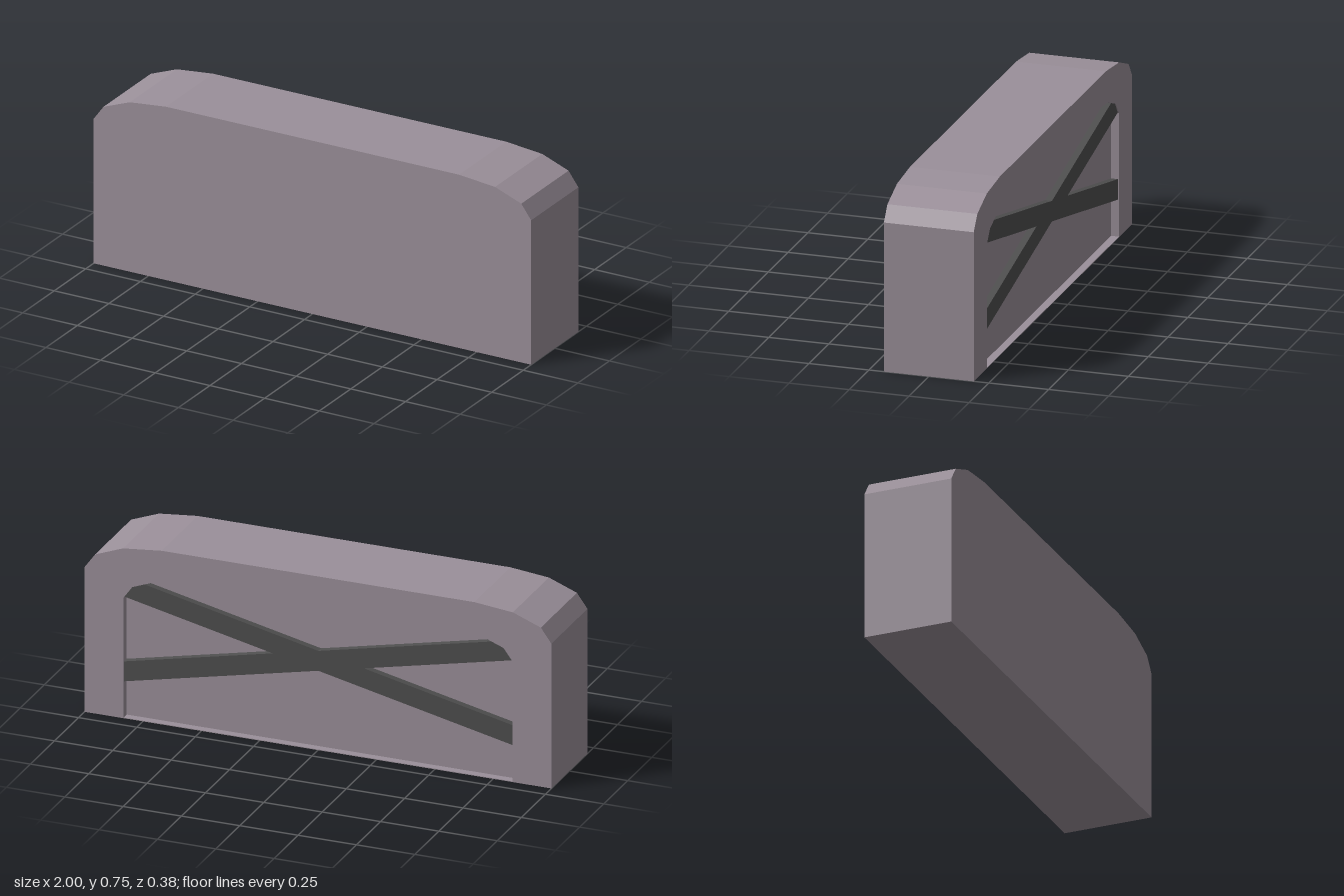
import * as THREE from 'three';

const BACK = -0.1875, RECESS = -0.155, FRONT = 0.1875;

// Half of the arched outline, from the base up to the flat top
const PROFILE = [[1, 0], [1, 0.625], [0.955, 0.687], [0.835, 0.733], [0.67, 0.75]];

function outline(scale, base) {
  const half = PROFILE.map(([x, y]) => new THREE.Vector2(x * scale, Math.max(y * scale, base)));
  const mirrored = half.map((p) => new THREE.Vector2(-p.x, p.y)).reverse();
  return [...half, ...mirrored];
}

function slab(shape, z0, z1, material, name) {
  const geometry = new THREE.ExtrudeGeometry(shape, { depth: z1 - z0, bevelEnabled: false });
  geometry.translate(0, 0, z0);
  const mesh = new THREE.Mesh(geometry, material);
  mesh.name = name;
  return mesh;
}

export function createModel() {
  const group = new THREE.Group();
  group.name = 'archedPanel';

  const stone = new THREE.MeshStandardMaterial({ color: 0x9b909a });
  stone.name = 'mauveGrey';
  stone.flatShading = true;
  const iron = new THREE.MeshStandardMaterial({ color: 0x4f4f4f });
  iron.name = 'darkGrey';
  iron.flatShading = true;

  // Solid body up to the floor of the back recess
  group.add(slab(new THREE.Shape(outline(1, 0)), RECESS, FRONT, stone, 'body'));

  // Rim around the recess
  const rim = new THREE.Shape(outline(1, 0));
  rim.holes.push(new THREE.Path(outline(0.833, 0.003)));
  group.add(slab(rim, BACK, RECESS, stone, 'backRim'));

  // Crossed braces, their ends sunk into the rim
  const end = 0.86, middle = 0.384, halfHeight = 0.043, slope = 0.22;
  for (const side of [1, -1]) {
    const rise = side * slope * end;
    const brace = new THREE.Shape([
      new THREE.Vector2(-end, middle - rise - halfHeight),
      new THREE.Vector2(end, middle + rise - halfHeight),
      new THREE.Vector2(end, middle + rise + halfHeight),
      new THREE.Vector2(-end, middle - rise + halfHeight),
    ]);
    group.add(slab(brace, BACK + 0.004, RECESS + 0.005, iron, side > 0 ? 'braceLeftUp' : 'braceRightUp'));
  }

  return group;
}
